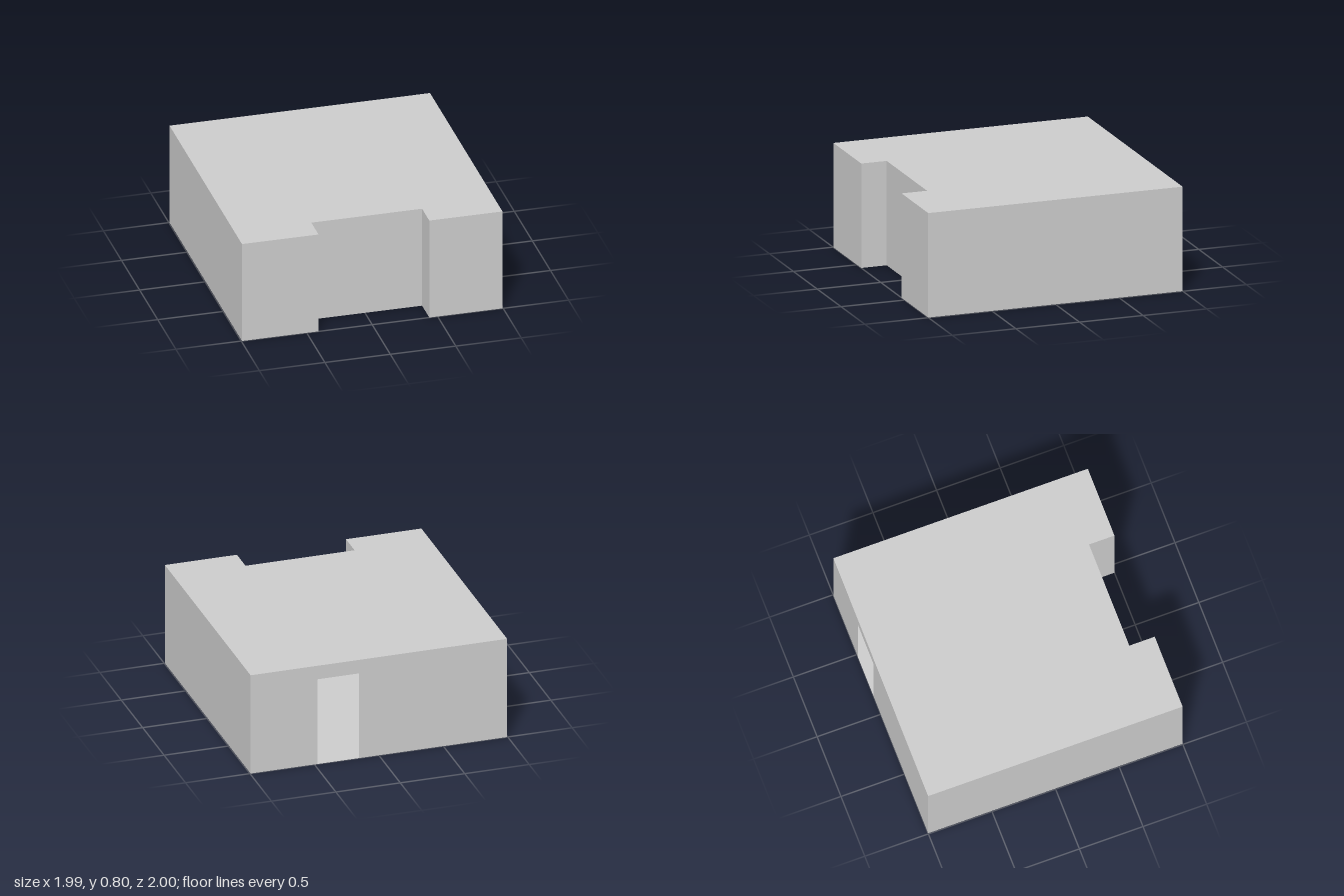
import * as THREE from 'three';

const W = 0.995, D = 1, H = 0.8;
// Footprint corners [x, z], running along the front from -x to +x, then round the back
const plan = [
  [-W, D], [-0.41, D], [-0.41, 0.8], [0.436, 0.8], [0.436, D], [W, D], [W, -D], [-W, -D],
];
const names = [
  'frontWallRight', 'recessSideRight', 'recessWall', 'recessSideLeft',
  'frontWallLeft', 'leftWall', 'backWall', 'rightWall',
];
const doorway = { start: 0.52, end: 0.84, height: 0.69 };

const polygon = (points) => new THREE.Shape(points.map(([x, y]) => new THREE.Vector2(x, y)));

export function createModel() {
  const group = new THREE.Group();
  const material = new THREE.MeshStandardMaterial({
    color: 0xcccccc, flatShading: true, side: THREE.DoubleSide,
  });
  const add = (name, shape) => {
    const mesh = new THREE.Mesh(new THREE.ShapeGeometry(shape), material);
    mesh.name = name;
    group.add(mesh);
    return mesh;
  };

  // Thin walls, one per footprint edge; the back one has a doorway open to the floor
  plan.forEach(([x, z], i) => {
    const [nx, nz] = plan[(i + 1) % plan.length];
    const length = Math.hypot(nx - x, nz - z);
    const { start, end, height } = doorway;
    const bottom = names[i] === 'backWall'
      ? [[0, 0], [start, 0], [start, height], [end, height], [end, 0], [length, 0]]
      : [[0, 0], [length, 0]];
    const wall = add(names[i], polygon([...bottom, [length, H], [0, H]]));
    wall.position.set(x, 0, z);
    wall.rotation.y = Math.atan2(z - nz, nx - x);
  });

  // Flat roof, and the floor seen through the doorway
  const roof = add('roof', polygon(plan.map(([x, z]) => [x, -z])));
  roof.rotation.x = -Math.PI / 2;
  roof.position.y = H;
  const floor = add('floor', polygon(plan));
  floor.rotation.x = Math.PI / 2;

  return group;
}
